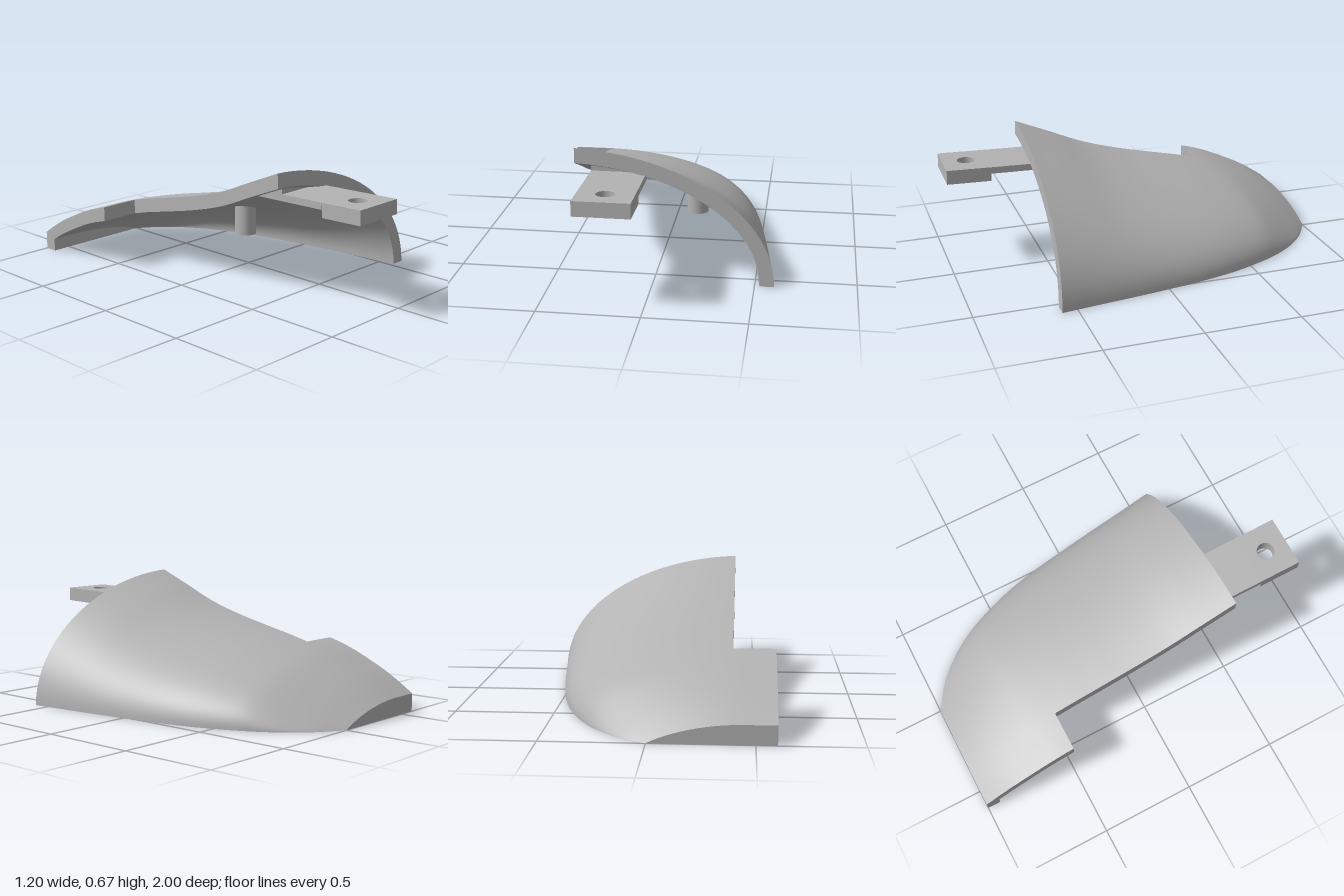
import * as THREE from 'three';

// Crown height and side half-width along z, as [z, value]
const CROWN = [[-1, .095], [-.9, .16], [-.8, .215], [-.6, .303], [-.4, .36], [-.2, .405], [0, .452], [.2, .512], [.4, .595], [.58, .668]];
const SIDE = [[-1, 0], [-.93, .11], [-.86, .19], [-.75, .28], [-.6, .362], [-.4, .437], [-.2, .487], [0, .52], [.2, .548], [.4, .572], [.58, .595]];
const AXIS = -.45, NOTCH_Z = -.48, FRONT_Z = .58, LEFT = -.6, STEP = -.39;
const SIDE_COLS = 4, COLS = 36, BACK_ROWS = 16, ROWS = 48;

// Smooth interpolation through a table
function sample(table, z) {
  const n = table.length - 1;
  let k = 0;
  while (k < n - 1 && z > table[k + 1][0]) k++;
  const slope = (i) => {
    const a = table[Math.max(i - 1, 0)], b = table[Math.min(i + 1, n)];
    return (b[1] - a[1]) / (b[0] - a[0]);
  };
  const [z0, v0] = table[k], [z1, v1] = table[k + 1];
  const h = z1 - z0, t = (z - z0) / h, t2 = t * t, t3 = t2 * t;
  return v0 * (2 * t3 - 3 * t2 + 1) + v1 * (3 * t2 - 2 * t3)
    + h * (slope(k) * (t3 - 2 * t2 + t) + slope(k + 1) * (t3 - t2));
}

// Rows of points for the outer (inner = false) or inner skin
function skin(inner) {
  const backZ = inner ? -.93 : -1;
  const rows = [];
  for (let j = 0; j <= ROWS; j++) {
    const z = j <= BACK_ROWS
      ? THREE.MathUtils.lerp(backZ, NOTCH_Z, j / BACK_ROWS)
      : THREE.MathUtils.lerp(NOTCH_Z, FRONT_Z, (j - BACK_ROWS) / (ROWS - BACK_ROWS));
    let height = sample(CROWN, z), width = sample(SIDE, z);
    if (inner) {
      const d = (sample(SIDE, Math.min(z + .01, FRONT_Z)) - sample(SIDE, z - .01)) / .02;
      height -= .075;
      width -= .07 * Math.sqrt(1 + d * d);
    }
    const power = .5 + .4 * THREE.MathUtils.smoothstep(-z, .6, 1);
    const row = [];
    for (let i = 0; i <= COLS; i++) {
      const x = i <= SIDE_COLS
        ? THREE.MathUtils.lerp(LEFT, STEP, i / SIDE_COLS)
        : STEP + (width - STEP) * Math.sin((i - SIDE_COLS) / (COLS - SIDE_COLS) * Math.PI / 2);
      const u = Math.max(0, (x - AXIS) / (width - AXIS));
      const y = i === COLS ? 0 : height * Math.pow(Math.max(0, 1 - u * u), power);
      // the front rim leans back slightly towards the crown
      const lean = .03 * y * Math.max(0, (z - NOTCH_Z) / (FRONT_Z - NOTCH_Z));
      row.push(new THREE.Vector3(x, y, z - lean));
    }
    rows.push(row);
  }
  return rows;
}

function skinGeometry(rows, flip) {
  const w = COLS + 1, index = [];
  for (let j = 0; j < ROWS; j++) {
    for (let i = j < BACK_ROWS ? 0 : SIDE_COLS; i < COLS; i++) {
      const a = j * w + i, b = a + w, c = a + 1, d = b + 1;
      if (flip) index.push(a, c, b, b, c, d);
      else index.push(a, b, c, b, d, c);
    }
  }
  const g = new THREE.BufferGeometry().setFromPoints(rows.flat());
  g.setIndex(index);
  g.computeVertexNormals();
  return g;
}

// Flat-faced strip between two equally long rows of points
function strip(p, q) {
  const pts = [];
  for (let k = 0; k < p.length - 1; k++) {
    pts.push(p[k], p[k + 1], q[k], p[k + 1], q[k + 1], q[k]);
  }
  const g = new THREE.BufferGeometry().setFromPoints(pts);
  g.computeVertexNormals();
  return g;
}

const toFloor = (v) => new THREE.Vector3(v.x, 0, v.z);

// Edge of a skin, once round, ending along the floor at the back
function outline(rows) {
  const loop = [];
  for (let j = 0; j <= ROWS; j++) loop.push(rows[j][COLS]);
  for (let i = COLS - 1; i >= SIDE_COLS; i--) loop.push(rows[ROWS][i]);
  for (let j = ROWS - 1; j >= BACK_ROWS; j--) loop.push(rows[j][SIDE_COLS]);
  for (let i = SIDE_COLS - 1; i >= 0; i--) loop.push(rows[BACK_ROWS][i]);
  for (let j = BACK_ROWS - 1; j >= 0; j--) loop.push(rows[j][0]);
  loop.push(toFloor(rows[0][0]), rows[0][COLS]);
  return loop;
}

export function createModel() {
  const model = new THREE.Group();
  model.name = 'curvedCover';
  const grey = new THREE.MeshStandardMaterial({ color: 0xb3b3b3 });
  grey.name = 'plainGrey';
  const add = (name, geometry, parent = model) => {
    const mesh = new THREE.Mesh(geometry, grey);
    mesh.name = name;
    parent.add(mesh);
    return mesh;
  };

  // Curved shell with its cut edges and low back wall
  const shell = new THREE.Group();
  shell.name = 'shell';
  model.add(shell);
  const outer = skin(false), inner = skin(true);
  add('outerSkin', skinGeometry(outer, false), shell);
  add('innerSkin', skinGeometry(inner, true), shell);
  add('shellEdges', strip(outline(outer), outline(inner)), shell);
  add('backWallOutside', strip(outer[0], outer[0].map(toFloor)), shell);
  add('backWallInside', strip(inner[0].map(toFloor), inner[0]), shell);

  // Mounting pad with a screw hole, tilted slightly upwards
  const left = -.315, right = -.04;
  const pad = new THREE.Shape();
  pad.moveTo(left, .77).lineTo(right, .77).lineTo(right, .998).lineTo(left, .998).closePath();
  pad.holes.push(new THREE.Path().absarc(-.178, .875, .046, 0, Math.PI * 2, true));
  const padMesh = add('mountingPad', new THREE.ExtrudeGeometry(pad, { depth: .074, bevelEnabled: false, curveSegments: 32 }));
  padMesh.rotation.x = Math.PI / 2 - .03;
  padMesh.position.y = .527;

  // Thin arm running from the pad into a block under the crown
  const arm = new THREE.Shape([
    [.77, .55], [.52, .543], [.52, .585], [.36, .52], [.36, .505], [.77, .515],
  ].map(([z, y]) => new THREE.Vector2(-z, y)));
  const armGeometry = new THREE.ExtrudeGeometry(arm, { depth: right - left, bevelEnabled: false });
  armGeometry.rotateY(Math.PI / 2);
  armGeometry.translate(left, 0, 0);
  add('mountingArm', armGeometry);

  // Locating post under the shell
  const post = add('locatingPost', new THREE.CylinderGeometry(.059, .059, .18, 40));
  post.position.set(.14, .195, -.16);

  return model;
}
